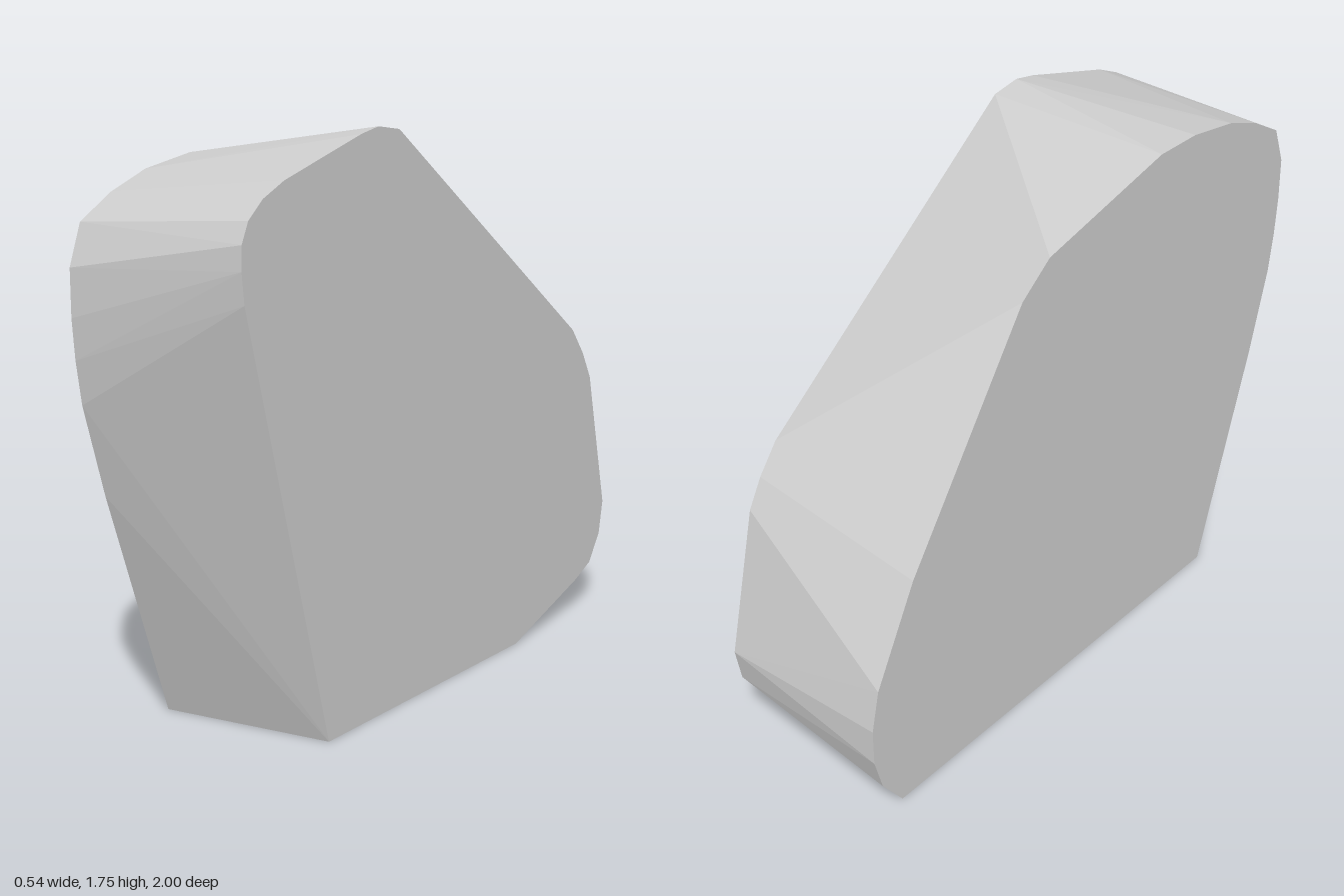
import * as THREE from 'three';
import { ConvexGeometry } from 'three/addons/geometries/ConvexGeometry.js';

const HALF_WIDTH = 0.27;

// Outline of the left (+x) face as [z, y], from the front foot over the top to the back foot
const leftOutline = [
  [0.56, 0], [0.91, 1.33], [0.92, 1.42], [0.918, 1.49], [0.89, 1.55], [0.83, 1.6],
  [0.74, 1.64], [0.4, 1.735], [0.32, 1.75], [0.22, 1.735], [-0.77, 1.0], [-0.84, 0.91],
  [-0.89, 0.82], [-1.0, 0.36], [-0.98, 0.25], [-0.92, 0.16], [-0.83, 0.12], [-0.45, 0],
];

// Outline of the right (-x) face, same order
const rightOutline = [
  [0.65, 0], [0.89, 0.72], [0.97, 1.0], [0.99, 1.13], [1.0, 1.25], [1.0, 1.39],
  [0.955, 1.51], [0.83, 1.58], [0.69, 1.63], [0.5, 1.66], [0.33, 1.66], [-0.19, 1.54],
  [-0.31, 1.45], [-0.79, 0.77], [-0.95, 0.47], [-0.98, 0.34], [-0.98, 0.22],
  [-0.95, 0.11], [-0.87, 0],
];

const onSide = (outline, x) => outline.map(([z, y]) => new THREE.Vector3(x, y, z));

export function createModel() {
  const group = new THREE.Group();
  group.name = 'boulderSlab';

  // Faceted slab: the tight skin stretched between the two side faces
  const geometry = new ConvexGeometry([
    ...onSide(leftOutline, HALF_WIDTH),
    ...onSide(rightOutline, -HALF_WIDTH),
  ]);
  const material = new THREE.MeshStandardMaterial({ color: 0xcccccc, flatShading: true });
  const slab = new THREE.Mesh(geometry, material);
  slab.name = 'slab';
  group.add(slab);

  return group;
}
